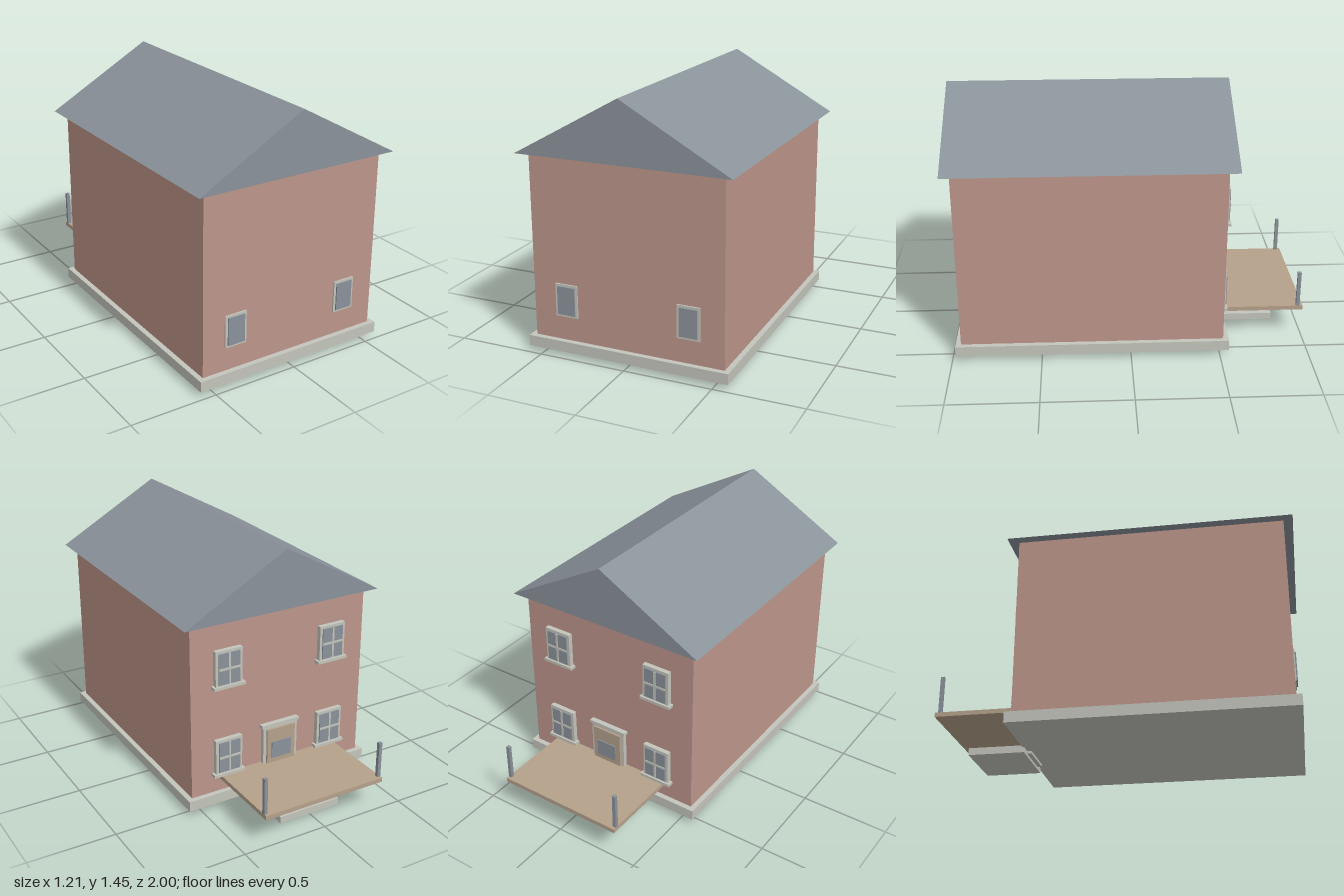
import * as THREE from 'three';

const material = (name, color) => {
  const m = new THREE.MeshStandardMaterial({ color });
  m.name = name;
  return m;
};

export function createModel() {
  const brick = material('brick', 0xbc958a);
  const slate = material('slate', 0x8a929a);
  const stone = material('stone', 0xc3c4bb);
  const timber = material('timber', 0xb5a18a);

  const house = new THREE.Group();
  house.name = 'house';

  // Box given by its extents on each axis
  const box = (name, mat, [x0, x1], [y0, y1], [z0, z1], parent = house) => {
    const mesh = new THREE.Mesh(new THREE.BoxGeometry(x1 - x0, y1 - y0, z1 - z0), mat);
    mesh.position.set((x0 + x1) / 2, (y0 + y1) / 2, (z0 + z1) / 2);
    mesh.name = name;
    parent.add(mesh);
    return mesh;
  };

  // Main volume
  box('foundation', stone, [-0.58, 0.58], [0.03, 0.09], [-0.55, 0.98]);
  box('walls', brick, [-0.55, 0.55], [0.04, 1.112], [-0.52, 0.95]);

  // Gable roof
  const gable = new THREE.Shape();
  gable.moveTo(-0.605, 1.112);
  gable.lineTo(0.605, 1.112);
  gable.lineTo(0, 1.45);
  gable.closePath();
  const roof = new THREE.Mesh(
    new THREE.ExtrudeGeometry(gable, { depth: 1.575, bevelEnabled: false }), slate);
  roof.position.z = -0.575;
  roof.name = 'roof';
  house.add(roof);

  // Small plain windows on the front
  for (const x of [-0.353, 0.353]) {
    const w = new THREE.Group();
    w.name = 'frontWindow';
    w.position.x = x;
    box('frame', stone, [-0.065, 0.065], [0.225, 0.41], [0.945, 0.958], w);
    box('glass', slate, [-0.051, 0.051], [0.238, 0.397], [0.957, 0.965], w);
    house.add(w);
  }

  // Four-pane windows on the back, on two floors
  for (const x of [-0.33, 0.33]) {
    for (const y of [0.31, 0.84]) {
      const w = new THREE.Group();
      w.name = 'backWindow';
      w.position.set(x, y, 0);
      box('frame', stone, [-0.082, 0.082], [-0.105, 0.105], [-0.547, -0.515], w);
      box('glass', slate, [-0.066, 0.066], [-0.09, 0.09], [-0.553, -0.546], w);
      box('uprightBar', stone, [-0.006, 0.006], [-0.09, 0.09], [-0.557, -0.55], w);
      box('crossBar', stone, [-0.066, 0.066], [-0.006, 0.006], [-0.557, -0.55], w);
      box('sill', stone, [-0.096, 0.096], [-0.115, -0.098], [-0.558, -0.515], w);
      house.add(w);
    }
  }

  // Back door with a glazed panel
  const door = new THREE.Group();
  door.name = 'backDoor';
  box('doorFrame', stone, [-0.11, 0.11], [0.015, 0.42], [-0.545, -0.515], door);
  box('lintel', stone, [-0.12, 0.12], [0.412, 0.43], [-0.55, -0.515], door);
  box('threshold', stone, [-0.12, 0.12], [0.015, 0.03], [-0.552, -0.515], door);
  box('doorPanel', timber, [-0.09, 0.09], [0.04, 0.4], [-0.556, -0.54], door);
  box('doorGlass', slate, [-0.062, 0.062], [0.22, 0.32], [-0.562, -0.555], door);
  house.add(door);

  // Deck, its posts and the step beneath
  box('deck', timber, [-0.375, 0.375], [0.165, 0.19], [-1, -0.52]);
  for (const x of [-0.365, 0.365]) {
    box('deckPost', slate, [x - 0.01, x + 0.01], [0.19, 0.4], [-0.982, -0.962]);
  }
  box('step', stone, [-0.19, 0.19], [0, 0.04], [-0.855, -0.54]);

  return house;
}
